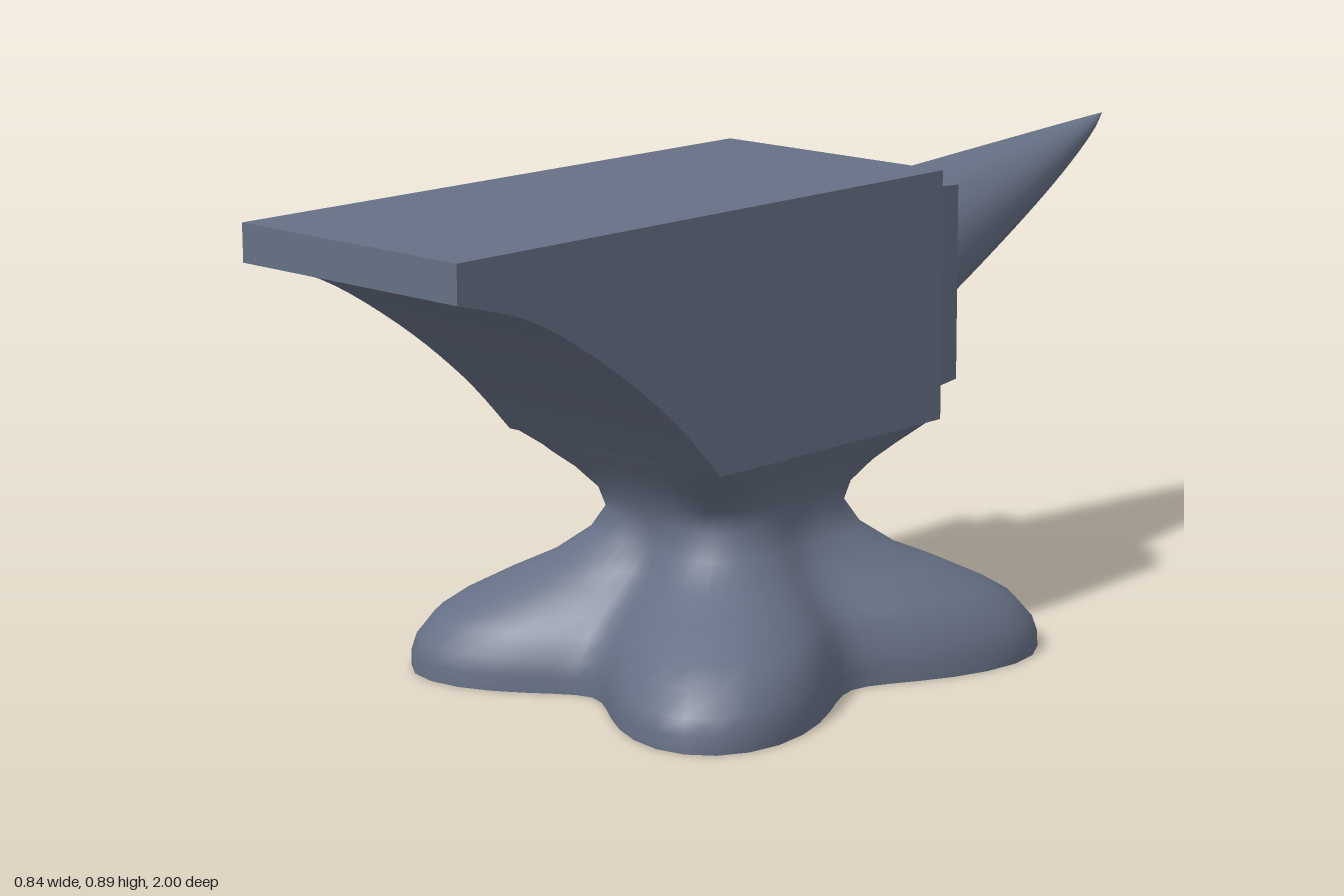
import * as THREE from 'three';

const steel = new THREE.MeshStandardMaterial({ color: 0x667085 });

// Smooth skin through a list of closed rings of equal point count
function loft(rings) {
  const n = rings[0].length, index = [];
  for (let i = 0; i < rings.length - 1; i++) {
    for (let j = 0; j < n; j++) {
      const a = i * n + j, b = i * n + (j + 1) % n;
      index.push(a, a + n, b, b, a + n, b + n);
    }
  }
  const g = new THREE.BufferGeometry().setFromPoints(rings.flat());
  g.setIndex(index);
  g.computeVertexNormals();
  return g;
}

function ring(count, pointAt) {
  return Array.from({ length: count }, (_, j) => pointAt(j / count * Math.PI * 2));
}

// Four-lobed outline and rounded square, both with a half-width of 1
const lobed = (a) => (0.475 - 0.13 * Math.cos(4 * a)) / 0.47;
const squarish = (a, n) =>
  (Math.abs(Math.cos(a)) ** n + Math.abs(Math.sin(a)) ** n) ** (-1 / n);

export function createModel() {
  const model = new THREE.Group();
  const add = (name, geometry) => {
    const mesh = new THREE.Mesh(geometry, steel);
    mesh.name = name;
    model.add(mesh);
  };

  // Foot and neck: y, half-width x, half-width z, lobe share, squareness
  const levels = [
    [0, 0.42, 0.473, 1, 3], [0.03, 0.42, 0.472, 1, 3], [0.06, 0.413, 0.463, 1, 3],
    [0.1, 0.392, 0.432, 1, 3], [0.13, 0.36, 0.392, 0.95, 3], [0.17, 0.3, 0.325, 0.85, 3],
    [0.2, 0.25, 0.268, 0.65, 3], [0.245, 0.203, 0.218, 0.35, 3], [0.29, 0.18, 0.2, 0.1, 3],
    [0.33, 0.188, 0.21, 0, 3.5], [0.37, 0.21, 0.235, 0, 5], [0.4, 0.233, 0.26, 0, 8],
    [0.437, 0.261, 0.29, 0, 24],
  ];
  const rings = levels.map(([y, hx, hz, lobe, n]) => ring(64, (a) => {
    const r = THREE.MathUtils.lerp(squarish(a, n), lobed(a), lobe);
    return new THREE.Vector3(r * hx * Math.cos(a) - 0.005 * y / 0.437, y, 0.115 + r * hz * Math.sin(a));
  }));
  add('footAndNeck', loft(rings));

  // Flat underside
  const sole = new THREE.Shape(rings[0].map((p) => new THREE.Vector2(p.x, p.z)));
  add('sole', new THREE.ShapeGeometry(sole).rotateX(Math.PI / 2));

  // Body with the heel swept underneath, profile in z and y
  const profile = new THREE.Shape();
  profile.moveTo(-0.18, 0.435);
  profile.lineTo(0.4, 0.435);
  profile.splineThru([[0.51, 0.548], [0.66, 0.667], [0.835, 0.773], [1, 0.825]]
    .map(([z, y]) => new THREE.Vector2(z, y)));
  profile.lineTo(1, 0.893);
  profile.lineTo(-0.18, 0.893);
  const body = new THREE.ExtrudeGeometry(profile, { depth: 0.523, bevelEnabled: false, curveSegments: 4 });
  add('body', body.rotateY(-Math.PI / 2).translate(0.256, 0, 0));

  // Step between body and horn, slightly narrower at the back
  const step = new THREE.BoxGeometry(0.45, 0.38, 0.115);
  const pos = step.attributes.position;
  for (let i = 0; i < pos.count; i++) {
    if (pos.getZ(i) < 0) pos.setXY(i, pos.getX(i) * 0.955, pos.getY(i) * 0.955);
  }
  step.computeVertexNormals();
  add('step', step.translate(-0.01, 0.666, -0.2275));

  // Horn: oval sections shrinking to a raised point
  const sections = 20;
  const hornRings = Array.from({ length: sections + 1 }, (_, i) => {
    const t = 1 - i / sections, s = t ** 0.82;
    const top = 0.82 + 0.055 * (1 - t);
    return ring(40, (a) => new THREE.Vector3(
      -0.02 + 0.18 * s * Math.cos(a),
      top - 0.153 * s * (1 - Math.sin(a)),
      -1 + 0.72 * t));
  });
  add('horn', loft(hornRings));

  return model;
}
